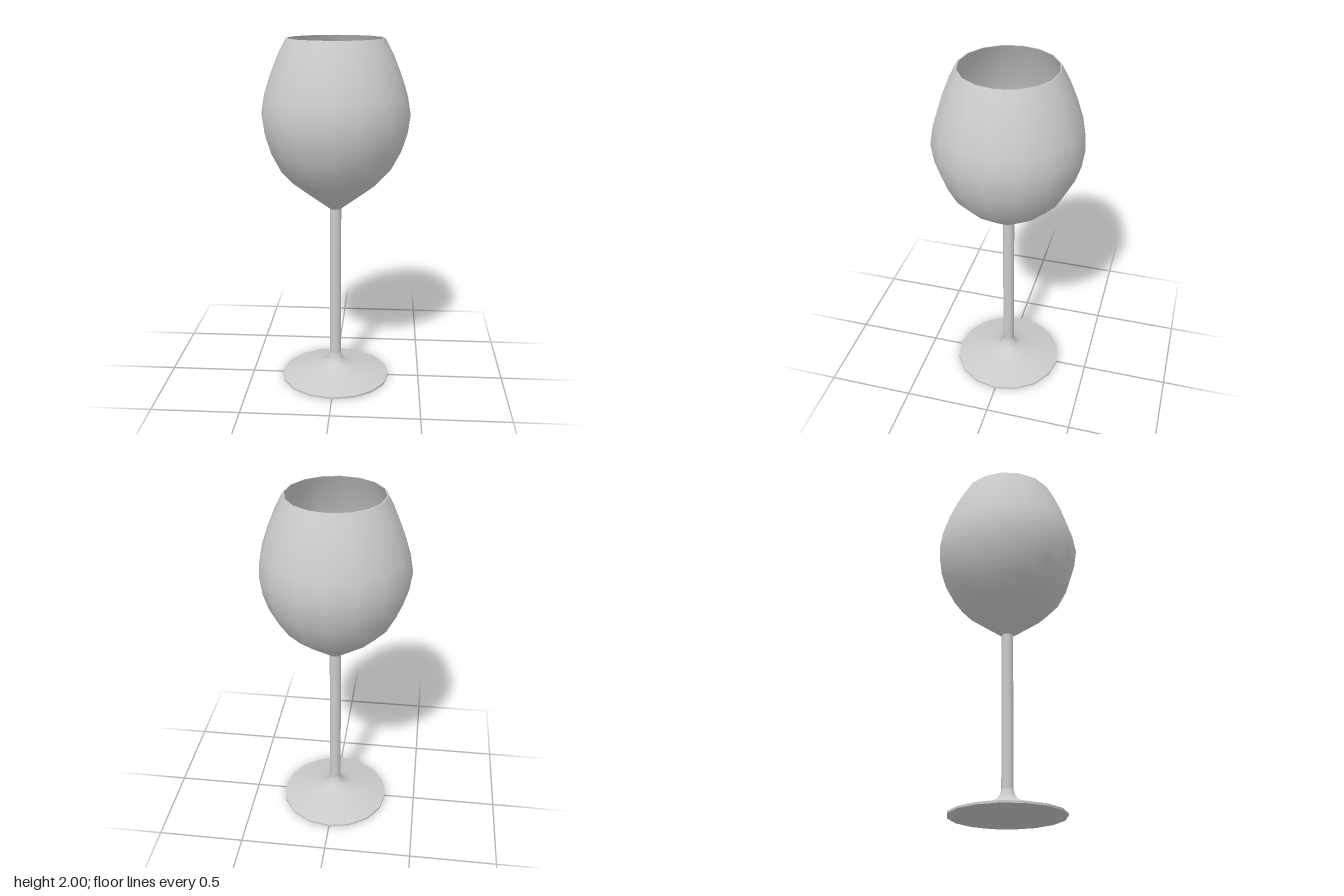
import * as THREE from 'three';

const SIDES = 16;
const material = new THREE.MeshStandardMaterial({ color: 0xcccccc });

// Each profile is a list of [radius, height]; separate lathes keep the edges between them sharp
function turned(name, profile) {
  const points = profile.map(([r, y]) => new THREE.Vector2(r, y));
  const mesh = new THREE.Mesh(new THREE.LatheGeometry(points, SIDES), material);
  mesh.name = name;
  return mesh;
}

export function createModel() {
  const glass = new THREE.Group();
  glass.name = 'wineGlass';

  // Foot: flat underside, thin edge and flared top
  const foot = new THREE.Group();
  foot.name = 'foot';
  foot.add(
    turned('footUnderside', [[0, 0], [0.32, 0]]),
    turned('footEdge', [[0.32, 0], [0.32, 0.012]]),
    turned('footTop', [[0.32, 0.012], [0.235, 0.035], [0.14, 0.057], [0.095, 0.075], [0.058, 0.092],
      [0.04, 0.118], [0.033, 0.145]])
  );

  // Stem
  const stem = turned('stem', [[0.033, 0.145], [0.033, 1.045]]);

  // Bowl: outer wall, rim and inner wall
  const outer = [[0.033, 1.045], [0.14, 1.125], [0.245, 1.205], [0.315, 1.28], [0.37, 1.385],
    [0.4, 1.48], [0.415, 1.585], [0.397, 1.69], [0.362, 1.8], [0.317, 1.91], [0.27, 2]];
  const wall = 0.007;
  const inner = outer.slice(1).map(([r, y]) => [r - wall, y]).reverse();
  inner.push([0.035, 1.056], [0, 1.05]);

  const bowl = new THREE.Group();
  bowl.name = 'bowl';
  bowl.add(
    turned('bowlOuterWall', outer),
    turned('bowlRim', [[0.27, 2], [0.27 - wall, 2]]),
    turned('bowlInnerWall', inner)
  );

  glass.add(foot, stem, bowl);
  return glass;
}
